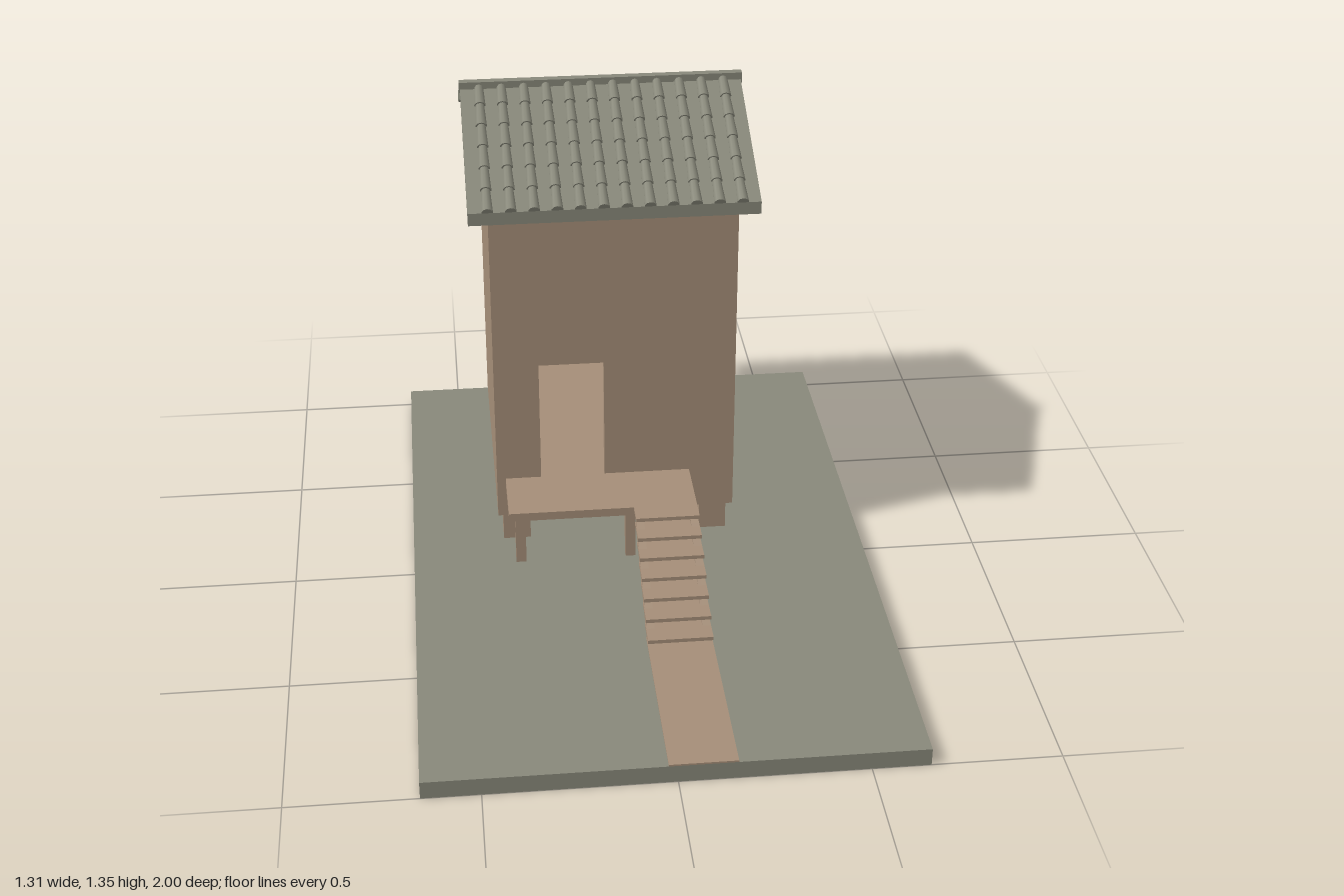
import * as THREE from 'three';
import { mergeGeometries } from 'three/addons/utils/BufferGeometryUtils.js';

const wood = new THREE.MeshStandardMaterial({ color: 0xa58e78 });
wood.name = 'wood';
const stone = new THREE.MeshStandardMaterial({ color: 0x88887a });
stone.name = 'stone';

export function createModel() {
  const model = new THREE.Group();
  model.name = 'raisedStorehouse';

  const add = (name, geometry, material) => {
    const mesh = new THREE.Mesh(geometry, material);
    mesh.name = name;
    model.add(mesh);
    return mesh;
  };
  // Box given by its minimum and maximum on each axis
  const box = (name, material, x0, x1, y0, y1, z0, z1) => {
    const mesh = add(name, new THREE.BoxGeometry(x1 - x0, y1 - y0, z1 - z0), material);
    mesh.position.set((x0 + x1) / 2, (y0 + y1) / 2, (z0 + z1) / 2);
    return mesh;
  };
  // Side profile of [z, y] points extruded along x
  const sideProfile = (name, material, points, x0, x1) => {
    const shape = new THREE.Shape(points.map(([z, y]) => new THREE.Vector2(-z, y)));
    const geometry = new THREE.ExtrudeGeometry(shape, { depth: x1 - x0, bevelEnabled: false });
    geometry.rotateY(Math.PI / 2);
    geometry.translate(x0, 0, 0);
    return add(name, geometry, material);
  };

  // Ground and path
  box('groundSlab', stone, -0.655, 0.655, 0, 0.05, -1, 1);
  box('path', wood, -0.025, 0.155, 0.05, 0.055, 0.45, 1);

  // House body: four walls around a hollow room
  const L = -0.405, R = 0.285, front = -0.075, back = -0.845, t = 0.025;
  const ridgeZ = -0.46, floorY = 0.14, eaveY = 1.135;
  const gable = [[front, floorY], [front, eaveY], [ridgeZ, 1.3], [back, eaveY], [back, floorY]];
  sideProfile('rightWall', wood, gable, L, L + t);
  sideProfile('leftWall', wood, gable, R - t, R);
  box('backWall', wood, L + t, R - t, floorY, eaveY, back, back + t);
  box('floor', wood, L + t, R - t, floorY, 0.262, back + t, front - t);

  // Front wall with the doorway
  const wall = new THREE.Shape();
  wall.moveTo(L + t, floorY).lineTo(R - t, floorY).lineTo(R - t, eaveY).lineTo(L + t, eaveY).closePath();
  const door = new THREE.Path();
  door.moveTo(-0.277, 0.262).lineTo(-0.277, 0.633).lineTo(-0.092, 0.633).lineTo(-0.092, 0.262).closePath();
  wall.holes.push(door);
  const frontWall = new THREE.ExtrudeGeometry(wall, { depth: t, bevelEnabled: false });
  frontWall.translate(0, 0, front - t);
  add('frontWall', frontWall, wood);

  // Short foundation posts
  for (const x of [-0.39, 0.188]) {
    for (const z of [-0.17, -0.828]) box('foundationPost', wood, x, x + 0.079, 0.05, 0.15, z, z + 0.08);
  }

  // Round beam ends in the front wall
  for (const x of [-0.302, 0.149]) {
    const peg = add('beamEnd', new THREE.CylinderGeometry(0.019, 0.019, 0.03, 16), wood);
    peg.rotation.x = Math.PI / 2;
    peg.position.set(x, 0.2, -0.085);
  }

  // Deck and its posts
  box('deck', wood, -0.38, 0.155, 0.24, 0.265, front, 0.117);
  for (const x of [-0.36, -0.042]) box('deckPost', wood, x, x + 0.029, 0.05, 0.24, 0.01, 0.039);

  // Stairs
  for (let i = 0; i < 7; i++) {
    const z = 0.177 + i * 0.054, y = 0.265 - i * 0.031;
    box('stairTread', wood, -0.025, 0.155, y - 0.011, y, z - (i ? 0.085 : 0.06), z);
  }
  const stringer = [[0.435, 0.05], [0.495, 0.05], [0.175, 0.24], [0.145, 0.255], [0.145, 0.222]];
  for (const x of [-0.023, 0.131]) sideProfile('stairStringer', wood, stringer, x, x + 0.022);

  // Gabled roof slab
  const roofL = -0.46, roofR = 0.337, run = 0.445, rise = 0.19, ridgeY = 1.33, thick = 0.036;
  sideProfile('roofSlab', stone, [
    [ridgeZ + run, ridgeY - rise - thick], [ridgeZ + run, ridgeY - rise], [ridgeZ, ridgeY],
    [ridgeZ - run, ridgeY - rise], [ridgeZ - run, ridgeY - rise - thick], [ridgeZ, ridgeY - thick],
  ], roofL, roofR);
  box('ridgeCap', stone, -0.463, 0.341, 1.315, 1.345, ridgeZ - 0.012, ridgeZ + 0.012);

  // Columns of overlapping barrel tiles on both slopes
  const rows = 6, columns = 12, length = Math.hypot(run, rise) / rows;
  const tiles = [];
  for (const side of [1, -1]) {
    for (let c = 0; c < columns; c++) {
      for (let r = 0; r < rows; r++) {
        const f = (r + 0.5) / rows;
        const tile = new THREE.CylinderGeometry(0.0125, 0.0165, length, 10);
        tile.rotateX(-side * Math.atan2(run, rise));
        tile.translate(-0.407 + c * 0.063, ridgeY - rise * f, ridgeZ + side * run * f);
        tiles.push(tile);
      }
    }
  }
  add('roofTiles', mergeGeometries(tiles), stone);

  return model;
}
